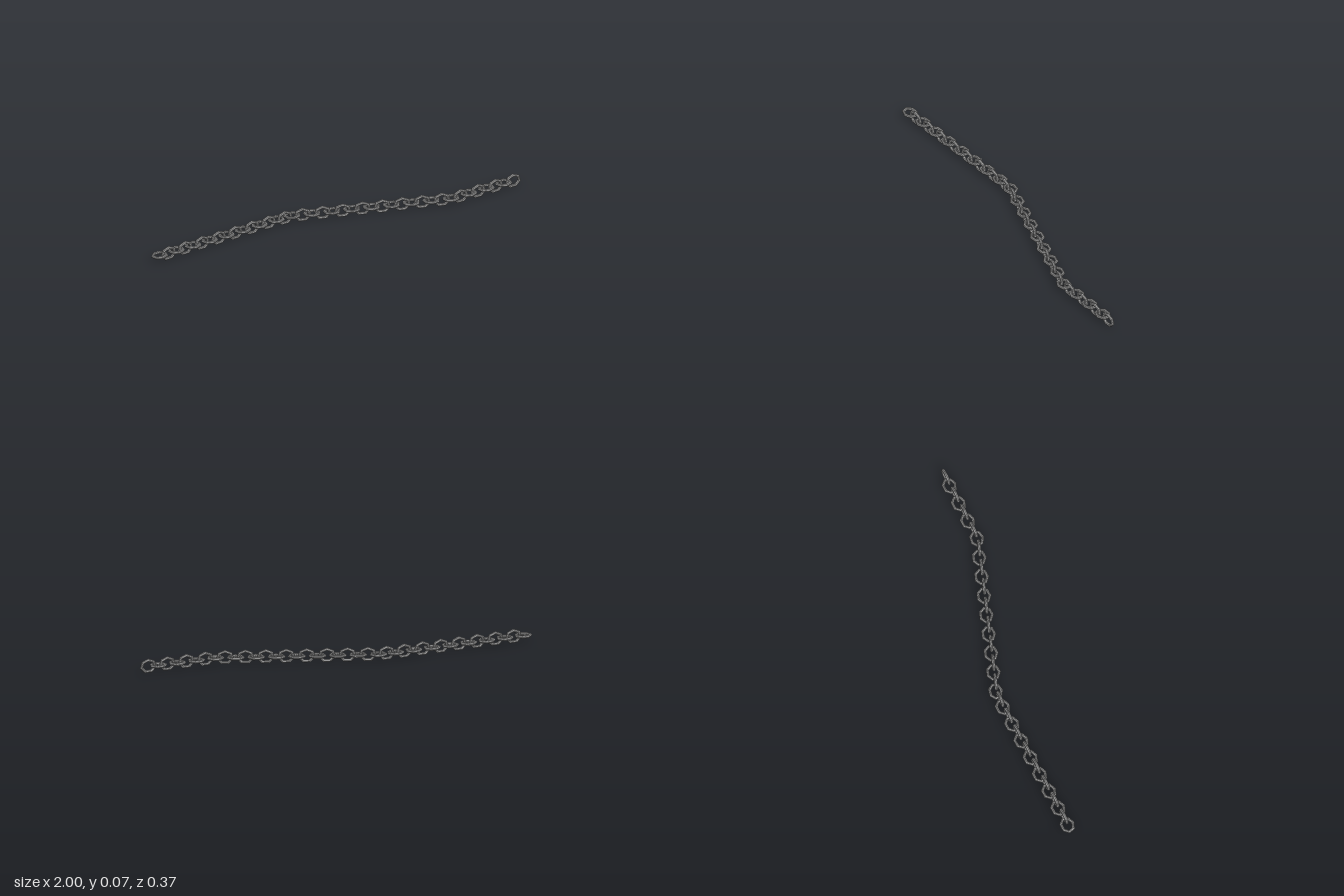
import * as THREE from 'three';

const RING = 0.03, WIRE = 0.0085, STRETCH = 0.0075, HEIGHT = 0.0373;
const UPRIGHT_SHIFT = 0.006; // upright links hang slightly off the middle of the flat ones

// Corners of the chain's line as [x, z, links up to this corner]
const CORNERS = [[-0.953, -0.154, 0], [-0.255, -0.154, 14], [-0.165, -0.147, 2], [0.593, 0.139, 16], [0.953, 0.147, 7]];

// One seven-sided link lying in the xy plane, corner upwards, stretched along x
function linkGeometry() {
  const geo = new THREE.TorusGeometry(RING, WIRE, 8, 7);
  geo.rotateZ(Math.PI / 2);
  const p = geo.attributes.position;
  for (let i = 0; i < p.count; i++) {
    const x = p.getX(i), y = p.getY(i);
    p.setX(i, x + STRETCH * x / Math.hypot(x, y));
  }
  geo.computeVertexNormals();
  return geo;
}

// Link centres: a straight run, a slanted run, then straight again
function linkCentres() {
  const [first, ...rest] = CORNERS;
  const centres = [new THREE.Vector3(first[0], HEIGHT, first[1])];
  for (const [x, z, count] of rest) {
    const from = centres[centres.length - 1], to = new THREE.Vector3(x, HEIGHT, z);
    for (let i = 1; i <= count; i++) centres.push(from.clone().lerp(to, i / count));
  }
  return centres;
}

export function createModel() {
  const chain = new THREE.Group();
  chain.name = 'chain';
  const material = new THREE.MeshStandardMaterial({ color: 0x969696, flatShading: true });
  const upright = linkGeometry();
  const flat = upright.clone().rotateX(Math.PI / 2);
  const centres = linkCentres();

  // Flat and upright links alternate, each turned along the line of its neighbours
  centres.forEach((centre, i) => {
    const isFlat = i % 2 === 0;
    const link = new THREE.Mesh(isFlat ? flat : upright, material);
    link.name = isFlat ? 'flatLink' : 'uprightLink';
    link.position.copy(centre);
    if (!isFlat) link.position.z += UPRIGHT_SHIFT;
    const a = centres[Math.max(i - 1, 0)], b = centres[Math.min(i + 1, centres.length - 1)];
    link.rotation.y = -Math.atan2(b.z - a.z, b.x - a.x);
    chain.add(link);
  });
  return chain;
}
